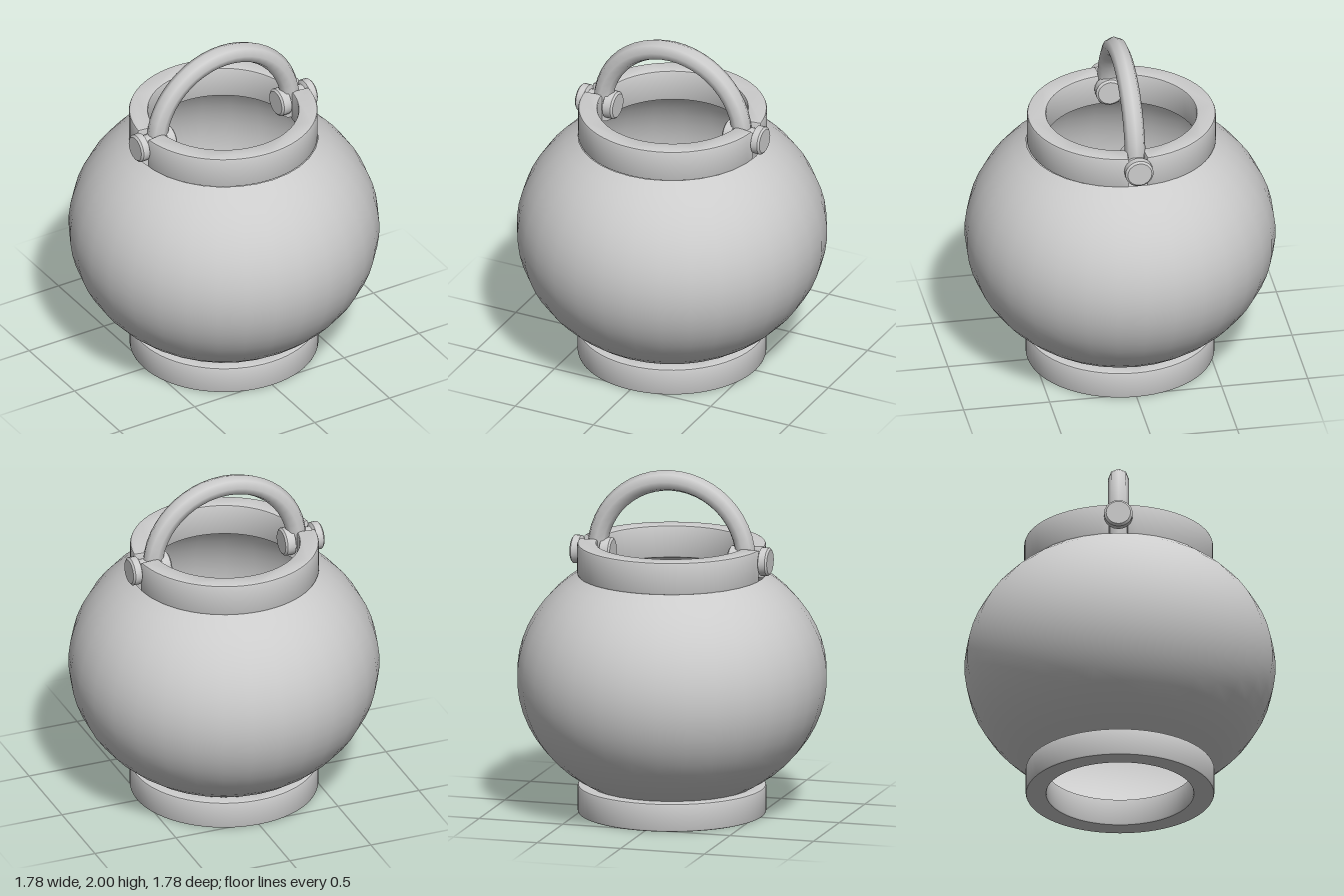
import * as THREE from 'three';
import { toCreasedNormals } from 'three/addons/utils/BufferGeometryUtils.js';

const grey = new THREE.MeshStandardMaterial({ color: 0xcccccc });
const greyDouble = new THREE.MeshStandardMaterial({ color: 0xcccccc, side: THREE.DoubleSide });

function part(name, geometry, material = grey) {
  const mesh = new THREE.Mesh(geometry, material);
  mesh.name = name;
  return mesh;
}

// Upright band with softened rims; an arc from a0 to a1, or a full ring
function band(outer, inner, y0, y1, a0, a1) {
  const shape = new THREE.Shape();
  if (a0 === undefined) {
    shape.absarc(0, 0, outer, 0, Math.PI * 2);
    shape.holes.push(new THREE.Path().absarc(0, 0, inner, 0, Math.PI * 2, true));
  } else {
    shape.absarc(0, 0, outer, a0, a1, false);
    shape.absarc(0, 0, inner, a1, a0, true);
    shape.closePath();
  }
  const b = 0.012;
  const geo = new THREE.ExtrudeGeometry(shape, {
    depth: y1 - y0 - 2 * b, curveSegments: a0 === undefined ? 32 : 16,
    bevelSize: b, bevelThickness: b, bevelOffset: -b, bevelSegments: 2,
  });
  geo.rotateX(-Math.PI / 2);
  geo.translate(0, y0 + b, 0);
  return toCreasedNormals(geo, 0.7);
}

export function createModel() {
  const group = new THREE.Group();

  // Squashed round pot, open at the neck and the foot
  const profile = [];
  const low = Math.asin(-0.645 / 0.75), high = Math.asin(0.597 / 0.75);
  for (let i = 0; i <= 18; i++) {
    const t = low + (high - low) * i / 18;
    profile.push(new THREE.Vector2(0.89 * Math.cos(t), 0.8 + 0.75 * Math.sin(t)));
  }
  group.add(part('potBody', new THREE.LatheGeometry(profile, 32), greyDouble));

  // Foot ring
  group.add(part('footRing', band(0.54, 0.42, 0, 0.165)));

  // Rim and handle assembly
  const top = new THREE.Group();
  top.name = 'rimAndHandle';
  top.position.z = -0.008;
  group.add(top);

  // Rim in two halves, with a slot for the handle on each side
  const gap = 0.1;
  top.add(part('backRim', band(0.54, 0.43, 1.39, 1.58, gap, Math.PI - gap)));
  top.add(part('frontRim', band(0.54, 0.43, 1.39, 1.58, Math.PI + gap, 2 * Math.PI - gap)));

  // Arched handle, its ends sunk into the slots
  const points = [new THREE.Vector3(0.445, 1.41, 0)];
  for (let i = 0; i <= 12; i++) {
    const a = Math.PI * i / 12;
    points.push(new THREE.Vector3(0.445 * Math.cos(a), 1.5 + 0.442 * Math.sin(a), 0));
  }
  points.push(new THREE.Vector3(-0.445, 1.41, 0));
  const handle = new THREE.TubeGeometry(new THREE.CatmullRomCurve3(points), 28, 0.06, 8);
  top.add(part('handle', handle, greyDouble));

  // Spool-shaped pivot pins with a head at each end
  const pin = [[0, 0.35], [0.07, 0.35], [0.082, 0.36], [0.082, 0.41], [0.06, 0.42],
    [0.06, 0.53], [0.082, 0.54], [0.082, 0.58], [0.07, 0.59], [0, 0.59]]
    .map(([r, x]) => new THREE.Vector2(r, x));
  for (const side of [1, -1]) {
    const geo = toCreasedNormals(new THREE.LatheGeometry(pin, 20), 0.6);
    geo.rotateZ(-side * Math.PI / 2);
    geo.translate(0, 1.503, 0);
    top.add(part(side > 0 ? 'leftPin' : 'rightPin', geo));
  }
  return group;
}
